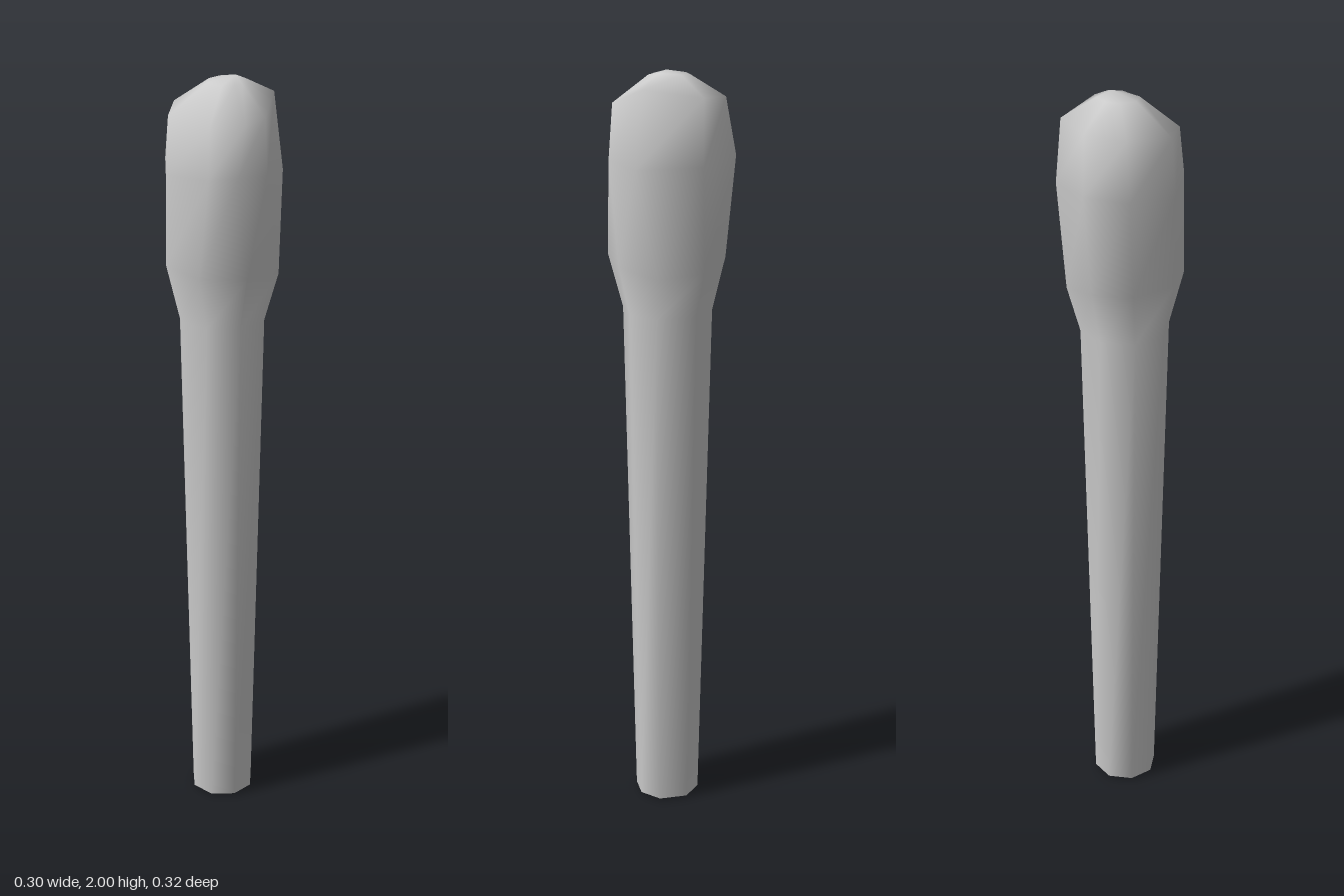
import * as THREE from 'three';

const SIDES = 8;
const ANGLES = [-6, 37, 79, 122, 167, 212, 257, 302];

// Ring of the shaft, running clockwise seen from above
function shaftRing(y, radius, cz) {
  return ANGLES.map((deg) => {
    const a = THREE.MathUtils.degToRad(deg);
    return [radius * Math.cos(a), y, cz + radius * Math.sin(a)];
  });
}

// Indexed surface through stacked rings, closed above by an optional peak
function loft(rings, peak) {
  const points = rings.flat();
  const index = [];
  for (let r = 0; r < rings.length - 1; r++) {
    for (let i = 0; i < SIDES; i++) {
      const a = r * SIDES + i;
      const b = r * SIDES + ((i + 1) % SIDES);
      index.push(a, a + SIDES, b, b, a + SIDES, b + SIDES);
    }
  }
  if (peak) {
    const base = (rings.length - 1) * SIDES;
    for (let i = 0; i < SIDES; i++) {
      index.push(points.length, base + ((i + 1) % SIDES), base + i);
    }
    points.push(peak);
  }
  const geometry = new THREE.BufferGeometry();
  geometry.setAttribute('position', new THREE.Float32BufferAttribute(points.flat(), 3));
  geometry.setIndex(index);
  geometry.computeVertexNormals();
  return geometry;
}

export function createModel() {
  const group = new THREE.Group();
  group.name = 'club';
  const material = new THREE.MeshStandardMaterial({ color: 0xcccccc });

  // Tapered handle
  const foot = shaftRing(0.005, 0.086, 0.012);
  const neck = shaftRing(1.39, 0.115, 0.01);

  // Swollen, slightly irregular head
  const swell = [
    [0.148, 1.5, -0.015], [0.125, 1.52, 0.095], [0.03, 1.53, 0.16], [-0.085, 1.53, 0.135],
    [-0.148, 1.54, 0.035], [-0.115, 1.53, -0.075], [-0.03, 1.53, -0.135], [0.08, 1.51, -0.115],
  ];
  const bulge = [
    [0.146, 1.77, 0.043], [0.083, 1.78, 0.135], [0.01, 1.78, 0.143], [-0.065, 1.78, 0.15],
    [-0.146, 1.77, 0.035], [-0.122, 1.78, -0.095], [-0.03, 1.79, -0.16], [0.107, 1.78, -0.12],
  ];
  const shoulder = [
    [0.125, 1.962, 0.03], [0.08, 1.92, 0.125], [0.03, 1.905, 0.132], [-0.06, 1.9, 0.137],
    [-0.138, 1.915, 0.03], [-0.1, 1.925, -0.085], [-0.012, 1.935, -0.138], [0.092, 1.945, -0.115],
  ];

  // Low crown drawn in towards the peak
  const crown = shoulder.map(([x, y, z]) => [0.012 + x * 0.36, 1.988 + (y - 1.93) * 0.15, z * 0.36]);

  const body = new THREE.Mesh(loft([foot, neck, swell, bulge, shoulder, crown], [0.035, 2.0, 0]), material);
  body.name = 'handleAndHead';
  group.add(body);

  // Flat end of the handle
  const centre = foot.map(() => [0, 0, 0.012]);
  const end = new THREE.Mesh(loft([centre, foot]), material);
  end.name = 'handleEnd';
  group.add(end);

  return group;
}
